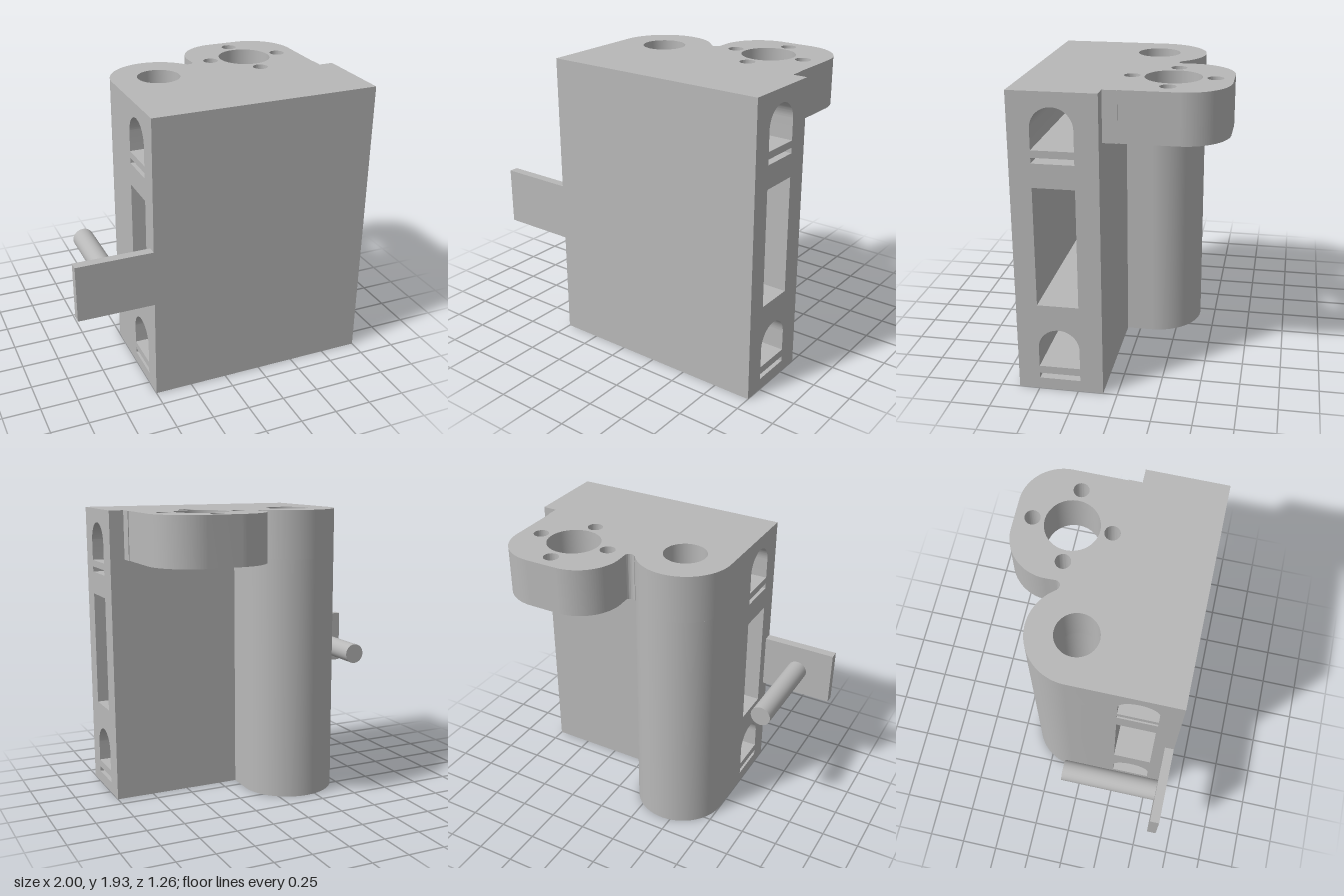
import * as THREE from 'three';
import { toCreasedNormals } from 'three/addons/utils/BufferGeometryUtils.js';

const HEIGHT = 1.93, FLANGE_Y = 1.615, BACK = 0.09, FRONT = 0.63;
const BORE = { x: -0.185, y: 0.08, r: 0.14, outer: 0.315 };
const MOTOR = { x: 0.515, y: 0.27 };

function circle(x, y, r) {
  return new THREE.Path().absarc(x, y, r, 0, Math.PI * 2, true);
}

function rect(x0, y0, x1, y1) {
  return new THREE.Path([[x0, y0], [x0, y1], [x1, y1], [x1, y0], [x0, y0]].map(p => new THREE.Vector2(...p)));
}

// Window with a semicircular top
function arch(x0, y0, x1, top) {
  const r = (x1 - x0) / 2;
  const p = new THREE.Path();
  p.moveTo(x0, y0);
  p.lineTo(x0, top - r);
  p.absarc(x0 + r, top - r, r, Math.PI, 0, true);
  p.lineTo(x1, y0);
  p.lineTo(x0, y0);
  return p;
}

function extrude(shape, depth) {
  return new THREE.ExtrudeGeometry(shape, { depth, bevelEnabled: false, curveSegments: 32 });
}

// Plan shapes use (x, -z) and rise along y
function rise(shape, y0, y1) {
  return toCreasedNormals(extrude(shape, y1 - y0).rotateX(-Math.PI / 2).translate(0, y0, 0), 0.6);
}

export function createModel() {
  const group = new THREE.Group();
  const grey = new THREE.MeshStandardMaterial({ color: 0xb8b8b8 });
  grey.name = 'grey';
  const add = (name, geometry) => {
    const mesh = new THREE.Mesh(geometry, grey);
    mesh.name = name;
    group.add(mesh);
    return mesh;
  };

  // Main block, drawn in (-z, y) with windows running through along x
  const side = new THREE.Shape();
  side.moveTo(-FRONT, 0);
  side.lineTo(-BACK, 0);
  side.lineTo(-BACK, HEIGHT);
  side.lineTo(-FRONT, HEIGHT);
  side.closePath();
  const a = -0.495, b = -0.235;
  side.holes.push(
    rect(a, 0.075, b, 0.11), arch(a, 0.16, b, 0.42),
    rect(a, 0.585, b, 1.35),
    rect(a, 1.5, b, 1.535), arch(a, 1.58, b, 1.84),
  );
  add('mainBlock', toCreasedNormals(extrude(side, 1.5).rotateY(Math.PI / 2).translate(-0.5, 0, 0), 0.6));

  // Bearing column with vertical bore, below the flange
  const column = new THREE.Shape();
  column.moveTo(BORE.x - BORE.outer, -BACK);
  column.lineTo(BORE.x + BORE.outer, -BACK);
  column.absarc(BORE.x, BORE.y, BORE.outer, 0, Math.PI, false);
  column.closePath();
  column.holes.push(circle(BORE.x, BORE.y, BORE.r));
  add('bearingColumn', rise(column, 0, FLANGE_Y));

  // Top flange: mounting lobe, small relief notch, column cap
  const flange = new THREE.Shape();
  flange.moveTo(-0.5, -BACK);
  flange.lineTo(0.905, -BACK);
  flange.lineTo(0.905, 0);
  flange.lineTo(0.9, 0);
  flange.lineTo(0.9, 0.353);
  flange.absarc(0.62, 0.353, 0.28, 0, Math.PI / 2, false);
  flange.absarc(0.41, 0.353, 0.28, Math.PI / 2, Math.PI, false);
  flange.absarc(0.1, 0.283, 0.032, 0, -Math.PI * 0.78, true);
  flange.absarc(BORE.x, BORE.y, BORE.outer, 0.61, Math.PI, false);
  flange.closePath();
  flange.holes.push(circle(BORE.x, BORE.y, BORE.r), circle(MOTOR.x, MOTOR.y, 0.175));
  for (const [dx, dy] of [[1, 0], [-1, 0], [0, 1], [0, -1]]) {
    flange.holes.push(circle(MOTOR.x + dx * 0.252, MOTOR.y + dy * 0.252, 0.05));
  }
  add('topFlange', rise(flange, FLANGE_Y, HEIGHT));

  // Side tab and the pin standing off its back
  add('sideTab', new THREE.BoxGeometry(0.5, 0.375, 0.06)).position.set(-0.75, 0.873, 0.6);
  const pin = add('pin', new THREE.CylinderGeometry(0.069, 0.069, 0.635, 40));
  pin.rotation.x = Math.PI / 2;
  pin.position.set(-0.75, 0.873, 0.2525);

  return group;
}
